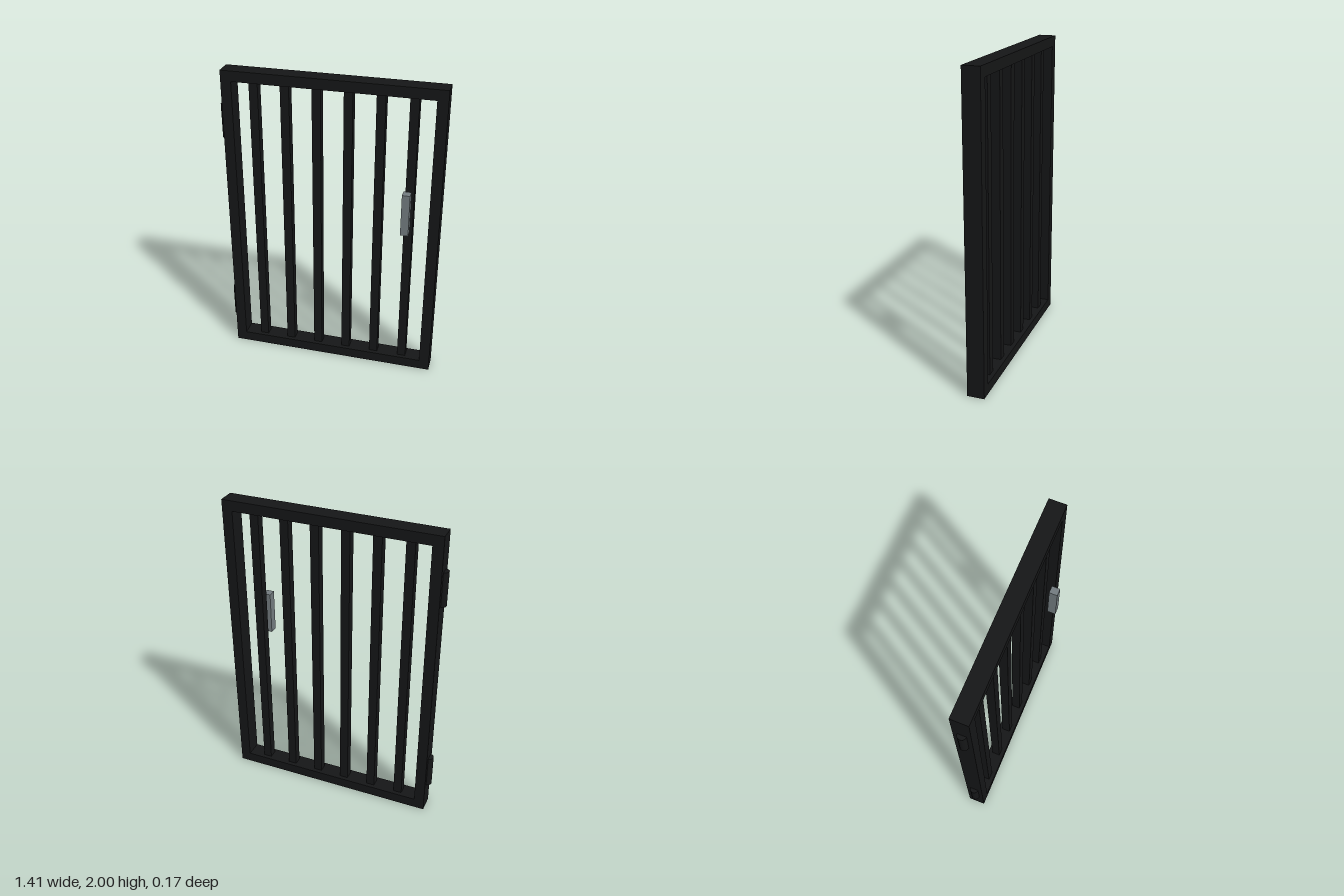
import * as THREE from 'three';

export function createModel() {
  const gate = new THREE.Group();
  gate.name = 'barredGate';
  const iron = new THREE.MeshStandardMaterial({ color: 0x151617 });
  const steel = new THREE.MeshStandardMaterial({ color: 0x737c80 });

  const left = -0.676, right = 0.702, height = 2;
  const rail = 0.067, depth = 0.111, midZ = -0.032;
  const midX = (left + right) / 2;

  function add(name, geometry, material, x, y, z) {
    const mesh = new THREE.Mesh(geometry, material);
    mesh.name = name;
    mesh.position.set(x, y, z);
    gate.add(mesh);
  }

  // Frame: two full-height posts with rails between them
  const post = new THREE.BoxGeometry(rail, height, depth);
  add('hingePost', post, iron, left + rail / 2, height / 2, midZ);
  add('latchPost', post, iron, right - rail / 2, height / 2, midZ);
  const crossRail = new THREE.BoxGeometry(right - left - 2 * rail, rail, depth);
  add('bottomRail', crossRail, iron, midX, rail / 2, midZ);
  add('topRail', crossRail, iron, midX, height - rail / 2, midZ);

  // Six evenly spaced square bars
  const bar = new THREE.BoxGeometry(0.0555, height - 2 * rail, 0.0555);
  const pitch = (right - left) / 7;
  for (let i = 1; i <= 6; i++) add('bar' + i, bar, iron, left + pitch * i, height / 2, midZ);

  // Hinge barrels half sunk into the hinge post
  const barrel = new THREE.CylinderGeometry(0.028, 0.028, 0.222, 16);
  add('lowerHinge', barrel, iron, left, 0.307, midZ);
  add('upperHinge', barrel, iron, left, 1.658, midZ);

  // Pull handle standing just in front of the last bar
  add('handle', new THREE.BoxGeometry(0.05, 0.276, 0.055), steel, 0.496, 1.203, 0.06);

  return gate;
}
